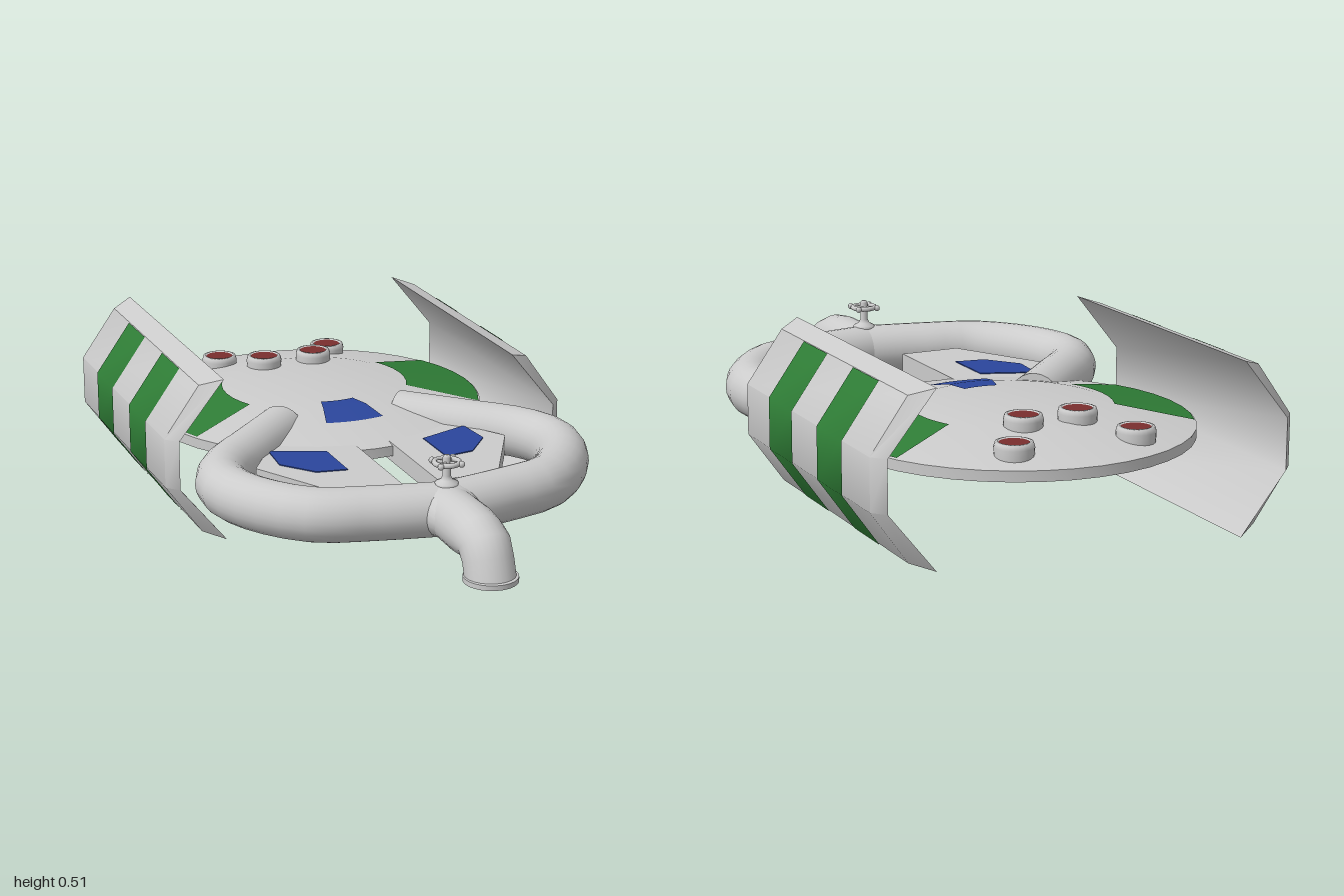
import * as THREE from 'three';
import { toCreasedNormals } from 'three/addons/utils/BufferGeometryUtils.js';

const mat = (color) => new THREE.MeshStandardMaterial({ color, side: THREE.DoubleSide });
const grey = mat(0xcccccc), green = mat(0x2f7d36), blue = mat(0x2b469c), red = mat(0x7a2e2e);
const V2 = (p) => new THREE.Vector2(p[0], p[1]);
const V3 = (x, y, z) => new THREE.Vector3(x, y, z);

function add(parent, name, geometry, material, x = 0, y = 0, z = 0) {
  const mesh = new THREE.Mesh(geometry, material);
  mesh.name = name;
  mesh.position.set(x, y, z);
  parent.add(mesh);
  return mesh;
}

// Skin consecutive rings of points; optionally close each ring
function loft(rings, closed, crease) {
  const n = rings[0].length, index = [];
  for (let i = 0; i < rings.length - 1; i++)
    for (let j = 0; j < (closed ? n : n - 1); j++) {
      const a = i * n + j, b = i * n + (j + 1) % n;
      index.push(a, b, a + n, b, b + n, a + n);
    }
  const g = new THREE.BufferGeometry().setFromPoints(rings.flat());
  g.setIndex(index);
  g.computeVertexNormals();
  return crease ? toCreasedNormals(g, crease) : g;
}

const HULL_Z = -0.46, PIPE_Y = 0.257, PIPE_R = 0.08;
const hullTop = (r) => (r < 0.28 ? 0.32 : 0.32 - (r - 0.28) * 0.2);

// Sector of the hull's upper surface, lifted slightly
function hullPatch(parent, name, material, radii, middle, half) {
  const pts = radii.map((r) => V2([r, hullTop(r) + 0.003]));
  add(parent, name, new THREE.LatheGeometry(pts, 6, middle - half, 2 * half), material, 0, 0, HULL_Z);
}

// Curved side shield with bevelled ends and two painted bands
function makeShield(side, zMid) {
  const shield = new THREE.Group();
  shield.name = side > 0 ? 'leftShield' : 'rightShield';
  shield.position.z = zMid;
  const inner = [[0.455, 0.515], [0.6, 0.335], [0.6, 0.18], [0.455, 0]];
  const outer = [[0.522, 0.493], [0.635, 0.335], [0.635, 0.18], [0.522, 0.022]];
  const row = (pts, z, dx = 0) => pts.map(([x, y]) => V3(side * (x + dx), y, z));
  let rings = [row(outer, 0.45), row(outer, -0.45), row(inner, -0.49), row(inner, 0.49), row(outer, 0.45)];
  if (side < 0) rings = rings.reverse();
  add(shield, 'shieldPlate', loft(rings, false, 0.8), grey);
  // Long top and bottom bevels
  for (const k of [0, 3]) {
    const edge = (pts, z) => V3(side * pts[k][0], pts[k][1], z);
    let strip = [[edge(inner, 0.49), edge(inner, -0.49)], [edge(outer, 0.45), edge(outer, -0.45)]];
    if ((k === 0) !== (side > 0)) strip = strip.reverse();
    add(shield, 'shieldEdge', loft(strip, false), grey);
  }
  for (const s of [-1, 1]) {
    let band = [row(outer, s * 0.18 + 0.088, 0.003), row(outer, s * 0.18 - 0.088, 0.003)];
    if (side < 0) band = band.reverse();
    add(shield, 'shieldBand', loft(band, false), green);
  }
  return shield;
}

// Hand wheel on a short stem
function makeValve() {
  const valve = new THREE.Group();
  valve.name = 'valve';
  valve.position.set(0, 0.33, 0.61);
  const stem = [[0.034, 0], [0.034, 0.01], [0.018, 0.018], [0.012, 0.03], [0.012, 0.085], [0.008, 0.092], [0, 0.092]];
  add(valve, 'valveStem', new THREE.LatheGeometry(stem.map(V2), 16), grey);
  add(valve, 'valveWheel', new THREE.TorusGeometry(0.036, 0.008, 8, 24).rotateX(Math.PI / 2), grey, 0, 0.07, 0);
  for (let i = 0; i < 4; i++) {
    const a = Math.PI / 4 + i * Math.PI / 2;
    const spoke = new THREE.CylinderGeometry(0.005, 0.005, 0.04, 6).rotateZ(Math.PI / 2).translate(0.02, 0, 0).rotateY(a);
    add(valve, 'valveSpoke', spoke, grey, 0, 0.07, 0);
    add(valve, 'valveKnob', new THREE.SphereGeometry(0.01, 8, 6), grey, 0.046 * Math.cos(a), 0.07, 0.046 * Math.sin(a));
  }
  return valve;
}

export function createModel() {
  const model = new THREE.Group();
  model.name = 'discShipWithTap';

  // Round hull: flat plateau, sloping faces and a thin rim
  const hull = [[0, 0.185], [0.28, 0.185], [0.54, 0.236], [0.54, 0.268], [0.28, 0.32], [0, 0.32]];
  add(model, 'hull', toCreasedNormals(new THREE.LatheGeometry(hull.map(V2), 40), 0.35), grey, 0, 0, HULL_Z);
  hullPatch(model, 'noseMarking', blue, [0.37, 0.28, 0.21], 0, 0.26);

  for (const s of [1, -1]) {
    hullPatch(model, 'sideMarking', green, [0.535, 0.3], s * Math.PI / 2, 0.46);

    // Front prongs with their markings
    const outline = [[0.055, 0], [0.28, -0.05], [0.33, 0], [0.41, 0.13], [0.25, 0.425], [0.055, 0.425]];
    const flat = (pts) => new THREE.Shape(pts.map(([x, z]) => V2([s * x, z])));
    const prong = new THREE.ExtrudeGeometry(flat(outline), { depth: 0.06, bevelEnabled: false });
    add(model, 'frontProng', prong.rotateX(Math.PI / 2), grey, 0, 0.275, 0);
    const mark = [[0.325, 0.005], [0.16, 0.068], [0.16, 0.245], [0.255, 0.23], [0.335, 0.13]];
    const markGeo = new THREE.ExtrudeGeometry(flat(mark), { depth: 0.004, bevelEnabled: false });
    add(model, 'prongMarking', markGeo.rotateX(Math.PI / 2), blue, 0, 0.278, 0);

    // Looping pipe from the hull to the front junction
    const path = [[0.2, -0.225], [0.36, -0.06], [0.49, 0.08], [0.535, 0.2], [0.5, 0.35], [0.37, 0.51], [0.2, 0.565], [0, 0.607]];
    const curve = new THREE.CatmullRomCurve3(path.map(([x, z]) => V3(s * x, PIPE_Y, z)));
    add(model, 'loopPipe', new THREE.TubeGeometry(curve, 20, PIPE_R, 24), grey);
    const cap = add(model, 'pipeEnd', new THREE.CircleGeometry(PIPE_R, 24), grey, s * 0.2, PIPE_Y, -0.225);
    cap.lookAt(cap.position.clone().sub(curve.getTangent(0)));

    // Round vents on the rear deck
    for (const [x, z] of [[0.087, -0.7], [0.193, -0.85]]) {
      const base = hullTop(Math.hypot(x, z - HULL_Z));
      const vent = [[0.056, -0.015], [0.058, 0.02], [0.054, 0.034], [0.046, 0.036], [0.045, 0.028], [0, 0.028]];
      add(model, 'ventRim', new THREE.LatheGeometry(vent.map(V2), 24), grey, s * x, base, z);
      add(model, 'ventCore', new THREE.CylinderGeometry(0.044, 0.044, 0.006, 24), red, s * x, base + 0.029, z);
    }
  }

  // Spout: rings given as [z, y, tilt, radius], doubling back for the hollow mouth
  const sections = [[0.6, PIPE_Y, 0, 0.077], [0.78, PIPE_Y, 0.1, 0.079], [0.83, 0.254, 0.35, 0.077],
    [0.873, 0.247, 0.85, 0.075], [0.9, 0.21, 1.2, 0.073], [0.92, 0.155, Math.PI / 2, 0.074],
    [0.92, 0.155, Math.PI / 2, 0.058], [0.9, 0.21, 1.2, 0.058], [0.873, 0.247, 0.85, 0.058], [0.8, PIPE_Y, 0.2, 0.058], [0.78, PIPE_Y, 0, 0.001]];
  const rings = sections.map(([z, y, tilt, r]) => Array.from({ length: 24 }, (_, i) => {
    const a = i / 24 * Math.PI * 2, up = r * Math.sin(a);
    return V3(r * Math.cos(a), y + up * Math.cos(tilt), z + up * Math.sin(tilt));
  }));
  add(model, 'spout', loft(rings, true, 0.9), grey);
  const lip = [[0.06, 0.155], [0.079, 0.155], [0.079, 0.17], [0.066, 0.172]];
  add(model, 'spoutLip', toCreasedNormals(new THREE.LatheGeometry(lip.map(V2), 24), 0.6), grey, 0, 0, 0.92);

  // Flared collar where the pipes meet
  const collar = new THREE.CylinderGeometry(0.077, 0.1, 0.09, 24, 1, true).rotateX(Math.PI / 2).scale(1, 0.82, 1);
  add(model, 'junctionCollar', collar, grey, 0, PIPE_Y, 0.665);

  model.add(makeValve(), makeShield(1, -0.415), makeShield(-1, -0.51));
  return model;
}
